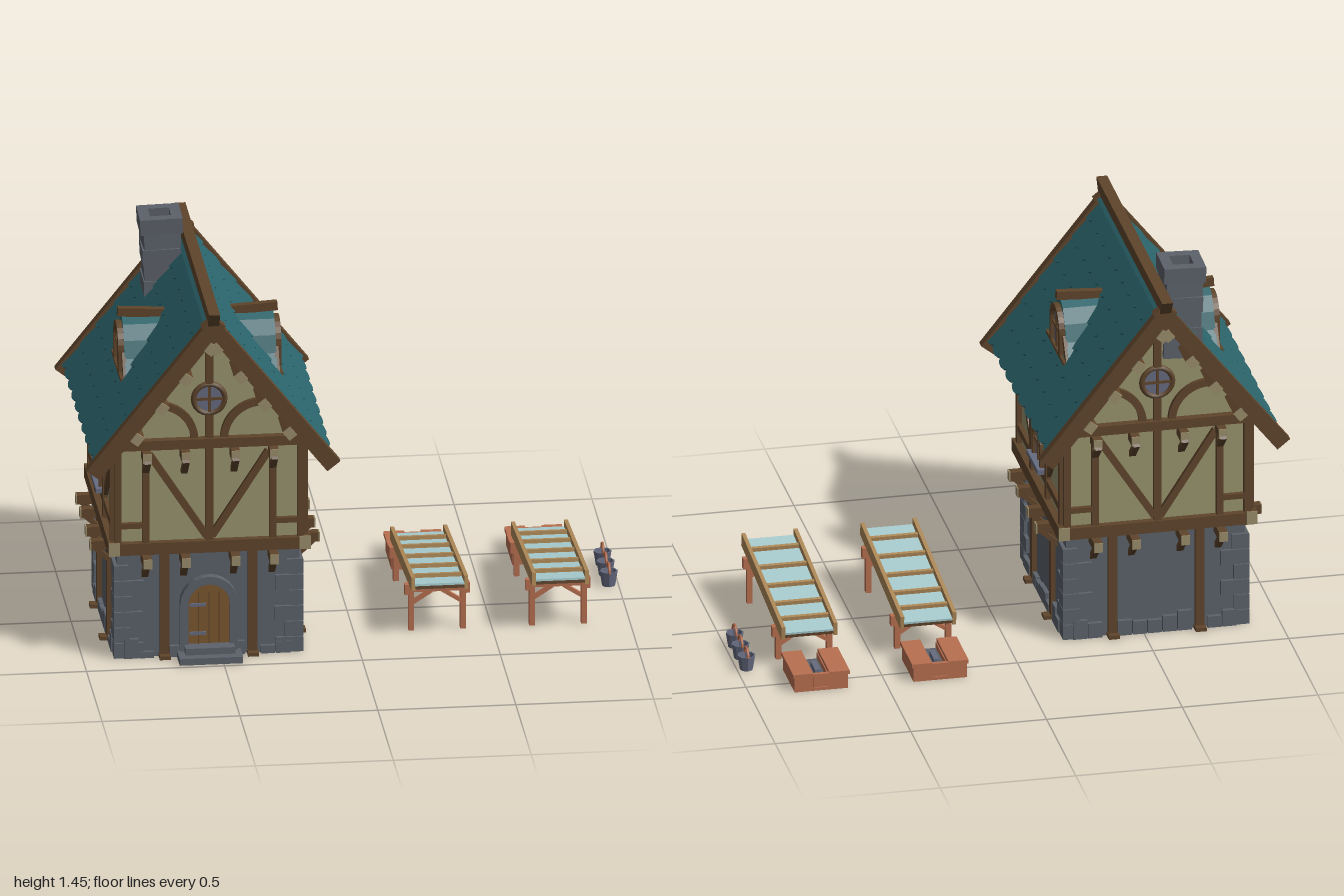
import * as THREE from 'three';

const mat = (name, color, side = THREE.FrontSide) => {
  const m = new THREE.MeshStandardMaterial({ color, side });
  m.name = name;
  return m;
};
const stone = mat('stone', 0x5d626b), wood = mat('dark timber', 0x5f452b), endGrain = mat('end grain', 0x9a8d6c),
  plaster = mat('plaster', 0x99956f), tile = mat('teal tile', 0x2b646b), doorWood = mat('door wood', 0x7d5730),
  copper = mat('reddish wood', 0xb86f50), tan = mat('pale plank', 0xb08a58), water = mat('water', 0xa9cdd0),
  metal = mat('bluish metal', 0x666b80);

let seed = 7;
const rnd = () => (seed = (seed * 16807) % 2147483647) / 2147483647;

function put(parent, name, geo, m, x = 0, y = 0, z = 0) {
  const mesh = new THREE.Mesh(geo, m);
  mesh.name = name;
  mesh.position.set(x, y, z);
  parent.add(mesh);
  return mesh;
}
function group(parent, name, x = 0, y = 0, z = 0, ry = 0) {
  const g = new THREE.Group();
  g.name = name;
  g.position.set(x, y, z);
  g.rotation.y = ry;
  parent.add(g);
  return g;
}
const box = (p, name, m, w, h, d, x, y, z) => put(p, name, new THREE.BoxGeometry(w, h, d), m, x, y, z);
// Flat timber between two points of a wall
function beam(p, name, m, x1, y1, x2, y2, w, z, depth = 0.03) {
  const b = box(p, name, m, Math.hypot(x2 - x1, y2 - y1), w, depth, (x1 + x2) / 2, (y1 + y2) / 2, z);
  b.rotation.z = Math.atan2(y2 - y1, x2 - x1);
  return b;
}
const extrude = (shape, depth) => new THREE.ExtrudeGeometry(shape, { depth, bevelEnabled: false, curveSegments: 10 });
const poly = pts => new THREE.Shape(pts.map(p => new THREE.Vector2(...p)));
// Round-topped opening outline, standing on y = y0
function archPts(hw, h, y0 = 0) {
  const pts = [[-hw, y0], [hw, y0]];
  for (let i = 0; i <= 12; i++) pts.push([hw * Math.cos(i * Math.PI / 12), h - hw + hw * Math.sin(i * Math.PI / 12)]);
  return pts;
}
function archFrame(hw, h, t, depth) {
  const s = poly(archPts(hw, h));
  s.holes.push(poly(archPts(hw - t, h - t, 0.004)));
  return extrude(s, depth);
}
// Upright square tube
function squareRing(hx, hz, ix, iz, h) {
  const rect = (a, b) => poly([[-a, -b], [a, -b], [a, b], [-a, b]]);
  const s = rect(hx, hz);
  s.holes.push(rect(ix, iz));
  return extrude(s, h).rotateX(-Math.PI / 2);
}
function archWindow(p, y, z, hw, h, t) {
  const g = group(p, 'archedWindow', 0, y, z);
  put(g, 'windowFrame', archFrame(hw, h, t, 0.022), wood);
  put(g, 'windowGlass', extrude(poly(archPts(hw - t, h - t)), 0.008), metal);
  box(g, 'mullion', wood, 0.01, h - t, 0.016, 0, (h - t) / 2, 0.008);
  box(g, 'glazingBar', wood, 2 * (hw - t), 0.01, 0.016, 0, h * 0.48, 0.008);
}
// Projecting joist with pale end and a slanted strut below
function joist(p, u, y, wall, end) {
  box(p, 'joist', wood, 0.032, 0.036, end - wall + 0.06, u, y, (end + wall - 0.06) / 2);
  box(p, 'joistEnd', endGrain, 0.032, 0.036, 0.005, u, y, end + 0.002);
  const s = box(p, 'strut', wood, 0.024, 0.018, 0.1, u, y - 0.045, wall + 0.03);
  s.rotation.x = -0.75;
}

const JOISTS = [-0.23, -0.09, 0.09, 0.23];

function stoneFace(p, d, reach) {
  for (const u of [-0.16, 0.16]) {
    box(p, 'wallPost', wood, 0.034, 0.4, 0.024, u, 0.2, d + 0.005);
    box(p, 'postFoot', wood, 0.04, 0.014, 0.05, u, 0.007, d + 0.018);
  }
  for (const u of JOISTS) joist(p, u, 0.393, d, reach);
  // Loose foundation stones
  for (let u = -0.28; u < 0.29; u += 0.055) {
    if (Math.abs(Math.abs(u) - 0.16) < 0.04) continue;
    const h = 0.02 + rnd() * 0.06;
    box(p, 'footingStone', stone, 0.052, h, 0.024, u, h / 2, d + 0.004);
  }
}

function buildGable(p) {
  const d = 0.38;
  box(p, 'sillBeam', wood, 0.7, 0.045, 0.035, 0, 0.433, d + 0.004);
  box(p, 'tieBeam', wood, 0.74, 0.036, 0.035, 0, 0.833, d + 0.008);
  beam(p, 'centrePost', wood, 0, 0.45, 0, 0.94, 0.028, d);
  beam(p, 'kingPost', wood, 0, 1.06, 0, 1.28, 0.028, d);
  for (const s of [-1, 1]) {
    beam(p, 'cornerPost', wood, s * 0.332, 0.45, s * 0.332, 0.82, 0.026, d);
    beam(p, 'wallPost', wood, s * 0.23, 0.45, s * 0.23, 0.82, 0.025, d);
    beam(p, 'brace', wood, s * 0.215, 0.79, s * 0.01, 0.47, 0.026, d - 0.003);
    beam(p, 'rail', wood, s * 0.24, 0.52, s * 0.33, 0.52, 0.02, d - 0.002);
    // Curved gable brace
    const arc = new THREE.Shape();
    arc.absarc(0, 0, 0.15, 0, Math.PI / 2, false);
    arc.absarc(0, 0, 0.122, Math.PI / 2, 0, true);
    const a = put(p, 'curvedBrace', extrude(arc, 0.025), wood, s * 0.19, 0.845, s > 0 ? d + 0.012 : d - 0.013);
    if (s > 0) a.rotation.y = Math.PI;
  }
  for (const u of JOISTS) joist(p, u, 0.797, d, 0.44);
  // Round window
  put(p, 'roundFrame', new THREE.TorusGeometry(0.056, 0.011, 6, 20), wood, 0, 1, d + 0.005);
  put(p, 'roundGlass', new THREE.CylinderGeometry(0.056, 0.056, 0.008, 20).rotateX(Math.PI / 2), metal, 0, 1, d + 0.004);
  box(p, 'mullion', wood, 0.01, 0.11, 0.014, 0, 1, d + 0.006);
  box(p, 'glazingBar', wood, 0.11, 0.01, 0.014, 0, 1, d + 0.006);
}

function buildSide(p) {
  const d = 0.343;
  box(p, 'sillBeam', wood, 0.8, 0.05, 0.04, 0, 0.435, d + 0.003);
  for (const s of [-1, 1]) {
    box(p, 'sillEnd', endGrain, 0.005, 0.05, 0.04, s * 0.402, 0.435, d + 0.003);
    beam(p, 'cornerPost', wood, s * 0.365, 0.45, s * 0.365, 0.84, 0.028, d);
    beam(p, 'wallPost', wood, s * 0.13, 0.45, s * 0.13, 0.84, 0.028, d);
    beam(p, 'brace', wood, s * 0.36, 0.8, s * 0.14, 0.56, 0.026, d - 0.003);
  }
  box(p, 'rail', wood, 0.72, 0.028, 0.03, 0, 0.525, d - 0.001);
  archWindow(p, 0.545, d, 0.075, 0.155, 0.018);
  box(p, 'windowSill', metal, 0.19, 0.018, 0.05, 0, 0.545, d + 0.01);
  // Dormer with bell-shaped roof
  const half = [[0, 1.185], [0.045, 1.165], [0.08, 1.115], [0.105, 1.055], [0.14, 1.01], [0.19, 0.982]];
  const bell = poly([...half.map(([u, y]) => [-u, y]), ...half.slice(1).reverse()]);
  put(p, 'dormerRoof', extrude(bell, 0.19), tile, 0, 0, 0.085);
  archWindow(p, 0.985, 0.274, 0.085, 0.178, 0.02);
  beam(p, 'dormerSill', wood, -0.15, 0.988, 0.15, 0.988, 0.018, 0.28);
  for (const s of [-1, 1]) beam(p, 'dormerTrim', wood, s * 0.135, 0.99, s * 0.082, 1.07, 0.024, 0.277, 0.014);
  const r = box(p, 'dormerRidge', wood, 0.026, 0.032, 0.19, 0, 1.195, 0.195);
  r.rotation.x = -0.06;
}

function buildRoof(p) {
  // One slope: x runs down the slope, y is the outward normal
  const g = group(p, 'roofSlope', 0, 1.365, 0);
  g.rotation.z = -0.9;
  box(g, 'roofDeck', tile, 0.69, 0.028, 0.99, 0.35, -0.032, 0);
  for (let row = 0; row < 7; row++) {
    const pts = [[0, -0.49]];
    for (let i = 0; i <= 54; i++) {
      const z = -0.49 + 0.98 * i / 54;
      pts.push([0.098 + 0.018 * Math.sqrt(Math.abs(Math.sin(Math.PI * (z / 0.109 + row * 0.5)))), z]);
    }
    pts.push([0, 0.49]);
    const t = put(g, 'tileRow', extrude(poly(pts), 0.008).rotateX(-Math.PI / 2), tile, 0.01 + row * 0.097, -0.02, 0);
    t.rotation.z = 0.08;
  }
  for (const s of [-1, 1]) box(g, 'bargeBoard', wood, 0.735, 0.06, 0.035, 0.367, -0.026, s * 0.509);
  for (const x of [0.1, 0.245, 0.385, 0.53]) {
    box(g, 'purlin', wood, 0.04, 0.035, 1.05, x, -0.068, 0);
    for (const s of [-1, 1]) box(g, 'purlinEnd', endGrain, 0.04, 0.035, 0.008, x, -0.068, s * 0.529);
  }
}

function buildHouse(root) {
  const h = group(root, 'house', -0.545, 0, 0.022);
  // Hollow stone ground floor
  put(h, 'stoneWalls', squareRing(0.33, 0.355, 0.3, 0.325, 0.41), stone);
  box(h, 'floorSlab', stone, 0.62, 0.015, 0.67, 0, 0.365, 0);
  for (const sx of [-1, 1]) for (const sz of [-1, 1]) {
    for (let i = 0; i < 6; i++) {
      const a = (i % 2 ? 0.05 : 0.09) + rnd() * 0.02, b = (i % 2 ? 0.09 : 0.05) + rnd() * 0.02;
      box(h, 'cornerStone', stone, a, 0.057, b, sx * (0.343 - a / 2), 0.03 + i * 0.06, sz * (0.368 - b / 2));
    }
  }
  // Plaster storey with gables
  const wall = poly([[-0.34, 0.41], [0.34, 0.41], [0.34, 0.85], [0, 1.28], [-0.34, 0.85]]);
  put(h, 'plasterWalls', extrude(wall, 0.75), plaster, 0, 0, -0.375);
  for (let i = 0; i < 2; i++) {
    const end = group(h, i ? 'backFace' : 'frontFace', 0, 0, 0, i * Math.PI);
    stoneFace(end, 0.355, 0.45);
    buildGable(end);
    const side = group(h, i ? 'rightFace' : 'leftFace', 0, 0, 0, Math.PI / 2 + i * Math.PI);
    stoneFace(side, 0.33, 0.412);
    buildSide(side);
    buildRoof(group(h, 'roofHalf', 0, 0, 0, i * Math.PI));
  }
  // Ridge beam with slanted ends
  const ridge = poly([[-0.53, 1.335], [0.53, 1.335], [0.565, 1.39], [-0.565, 1.39]]);
  put(h, 'ridgeBeam', extrude(ridge, 0.04).rotateY(Math.PI / 2), wood, -0.02);
  // Door and steps
  const d = group(h, 'doorway', 0, 0, 0.355);
  put(d, 'doorArch', archFrame(0.105, 0.31, 0.03, 0.03), stone);
  put(d, 'door', extrude(poly(archPts(0.075, 0.28)), 0.018), doorWood);
  for (const u of [-0.037, 0, 0.037]) box(d, 'doorGap', wood, 0.004, 0.24, 0.004, u, 0.13, 0.018);
  for (const y of [0.09, 0.2]) box(d, 'doorHinge', metal, 0.06, 0.012, 0.008, -0.04, y, 0.02);
  box(d, 'lowerStep', stone, 0.23, 0.025, 0.105, 0, 0.0125, 0.052);
  box(d, 'upperStep', stone, 0.18, 0.025, 0.07, 0, 0.0375, 0.035);
  // Leaning chimney in courses
  const c = group(h, 'chimney', -0.09, 1.09, -0.33);
  c.rotation.z = 0.03;
  for (let i = 0; i < 6; i++) {
    const r = i === 5 ? 0.077 : 0.067 + (i % 2) * 0.004;
    put(c, 'chimneyCourse', squareRing(r, r, 0.038, 0.038, 0.059), stone, 0, i * 0.06, 0).rotation.y = (rnd() - 0.5) * 0.06;
  }
}

function buildSluice(root, x) {
  const g = group(root, 'sluice', x, 0, 0);
  // Sloping channel
  const deck = group(g, 'channel', 0, 0.176, -0.036);
  deck.rotation.x = -0.098;
  for (const s of [-1, 1]) box(deck, 'sideBoard', tan, 0.014, 0.05, 0.69, s * 0.096, 0, 0);
  box(deck, 'channelFloor', wood, 0.18, 0.012, 0.685, 0, -0.014, 0);
  box(deck, 'waterSheet', water, 0.178, 0.008, 0.687, 0, -0.004, 0);
  for (const z of [-0.25, -0.14, -0.01, 0.125, 0.255]) box(deck, 'riffle', tan, 0.18, 0.02, 0.014, 0, 0.004, z);
  // Trestles
  for (const [z, top] of [[0.215, 0.18], [-0.278, 0.132]]) {
    for (const s of [-1, 1]) {
      box(g, 'leg', copper, 0.02, top, 0.022, s * 0.094, top / 2, z);
      beam(g, 'legBrace', copper, s * 0.09, top - 0.075, s * 0.02, top - 0.03, 0.014, z, 0.016);
      box(g, 'legPeg', copper, 0.02, 0.04, 0.026, s * 0.108, top - 0.022, z);
    }
    box(g, 'crossBar', copper, 0.22, 0.018, 0.018, 0, top - 0.024, z);
  }
  // Catch box with central slot
  const b = group(g, 'catchBox', 0, 0, -0.482);
  box(b, 'boxFloor', copper, 0.196, 0.012, 0.2, 0, 0.006, 0);
  for (const s of [-1, 1]) {
    box(b, 'boxSide', copper, 0.072, 0.05, 0.2, s * 0.062, 0.032, 0);
    box(b, 'boxRim', copper, 0.074, 0.014, 0.208, s * 0.067, 0.063, 0);
  }
  box(b, 'boxBack', copper, 0.06, 0.05, 0.015, 0, 0.04, -0.094);
  box(b, 'slotLining', stone, 0.055, 0.025, 0.18, 0, 0.022, 0.008);
  box(b, 'slotBar', metal, 0.02, 0.02, 0.08, 0, 0.044, 0);
}

function buildBucket(root, z) {
  const g = group(root, 'bucket', 0.965, 0, z);
  const profile = [[0, 0], [0.024, 0], [0.033, 0.056], [0.028, 0.056], [0.024, 0.02], [0, 0.02]];
  const geo = new THREE.LatheGeometry(profile.map(p => new THREE.Vector2(...p)), 8).toNonIndexed();
  geo.computeVertexNormals();
  put(g, 'pail', geo, metal);
  put(g, 'handle', new THREE.TorusGeometry(0.03, 0.005, 5, 10, Math.PI).rotateY(Math.PI / 2), copper, 0, 0.054, 0);
}

export function createModel() {
  const root = new THREE.Group();
  root.name = 'millHouseWithSluices';
  buildHouse(root);
  for (const x of [0.302, 0.74]) buildSluice(root, x);
  for (const z of [-0.345, -0.245, -0.145]) buildBucket(root, z);
  return root;
}
